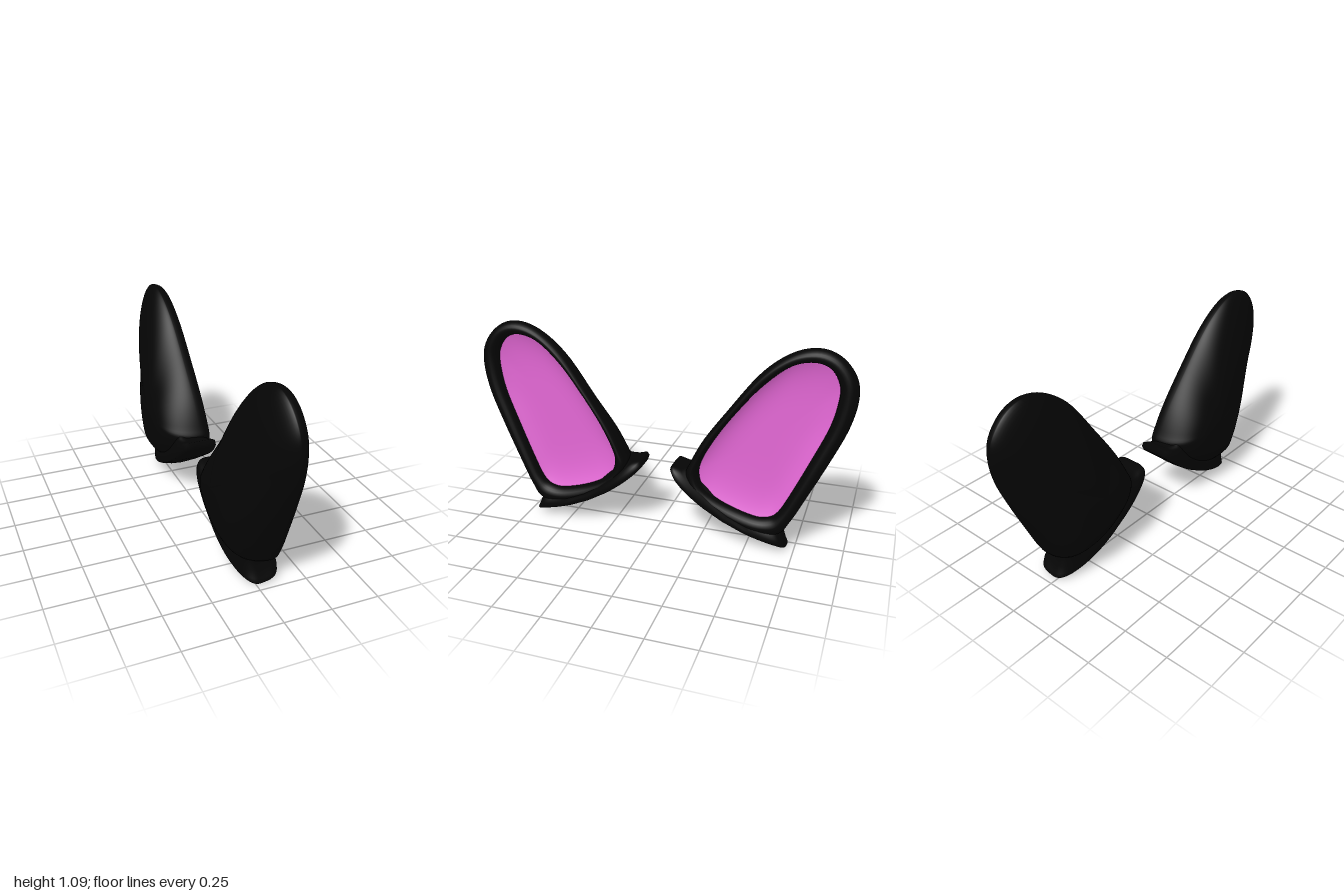
import * as THREE from 'three';
import { mergeVertices } from 'three/addons/utils/BufferGeometryUtils.js';

const V = (z, y, x = 0) => new THREE.Vector3(x, y, z);
const SEG = 96;

// Skins a list of closed rings; side = -1 gives the mirrored part
function loft(rings, side, material, name) {
  const pos = [], idx = [], n = rings[0].length;
  for (const ring of rings) for (const p of ring) pos.push(p.x, p.y, p.z * side);
  for (let i = 0; i < rings.length - 1; i++) {
    for (let j = 0; j < n; j++) {
      const k = (j + 1) % n;
      const a = i * n + j, b = i * n + k, c = a + n, d = b + n;
      if (side > 0) idx.push(a, b, d, a, d, c);
      else idx.push(a, d, b, a, c, d);
    }
  }
  let g = new THREE.BufferGeometry();
  g.setAttribute('position', new THREE.Float32BufferAttribute(pos, 3));
  g.setIndex(idx);
  g = mergeVertices(g, 1e-5);
  g.computeVertexNormals();
  const mesh = new THREE.Mesh(g, material);
  mesh.name = name;
  return mesh;
}

// Matching outlines [z, y]: ear silhouette and edge of the inner ear
const OUTER = [[.79, 1.09], [.9, 1.06], [.98, .97], [1, .86], [.97, .71], [.895, .53], [.8, .33], [.725, .18], [.66, .1],
  [.5, .1], [.35, .16], [.22, .26], [.165, .36], [.185, .43], [.25, .56], [.36, .72], [.52, .935], [.66, 1.05]];
const INNER = [[.78, 1.02], [.86, .995], [.905, .92], [.905, .83], [.875, .7], [.8, .52], [.715, .33], [.66, .225], [.61, .185],
  [.53, .18], [.38, .225], [.27, .29], [.233, .37], [.25, .46], [.33, .605], [.44, .76], [.55, .89], [.67, .99]];

function outline(points) {
  const curve = new THREE.CatmullRomCurve3(points.map(p => V(...p)), true, 'catmullrom', 0.5);
  return Array.from({ length: SEG }, (_, j) => curve.getPoint(j / SEG));
}

// Front plane of the rim leans back towards the tip
const rimX = y => 0.15 - 0.072 * y;
const RIM_DEPTH = 0.05;

function earShell(side, material) {
  const outer = outline(OUTER), inner = outline(INNER), rings = [];
  const peak = V(0.47, 0.45);
  // Domed back: slender towards the tip, fuller towards the base
  for (let i = 0; i <= 24; i++) {
    const s = Math.sin(i / 24 * Math.PI / 2);
    rings.push(outer.map(o => {
      const p = peak.clone().lerp(o, s);
      const up = THREE.MathUtils.smoothstep(o.y, 0.15, 0.8);
      const bulge = Math.pow(Math.max(0, 1 - Math.pow(s, 4 - 2.4 * up)), 0.5 + 0.14 * up);
      const edge = rimX(o.y) - RIM_DEPTH;
      p.x = edge + (-0.15 - edge) * bulge;
      return p;
    }));
  }
  // Rounded rim
  for (let i = 1; i <= 12; i++) {
    const a = i / 12 * Math.PI;
    const k = (1 - Math.cos(a)) / 2;
    rings.push(outer.map((o, j) => {
      const p = o.clone().lerp(inner[j], k);
      p.x = rimX(p.y) - RIM_DEPTH * (1 - Math.sin(a));
      return p;
    }));
  }
  return loft(rings, side, material, 'earShell');
}

// Shallow dish inside the rim
function innerEar(side, material) {
  const inner = outline(INNER), rings = [], centre = V(0.58, 0.58);
  for (let i = 0; i <= 16; i++) {
    const s = Math.cos(i / 16 * Math.PI / 2);
    rings.push(inner.map(o => {
      const p = centre.clone().lerp(o, s);
      p.x = rimX(p.y) - RIM_DEPTH - 0.03 * (1 - Math.pow(s, 5));
      return p;
    }));
  }
  return loft(rings, side, material, 'innerEar');
}

// Flared foot: rounded-rectangle rings that follow curved base lines
function earBase(side, material) {
  const line = (a, b, c) => new THREE.QuadraticBezierCurve3(V(...a), V(...b), V(...c));
  const sole = line([.71, .002], [.36, .06], [.08, .365]);
  const lip = line([.71, .01], [.365, .065], [.077, .385]);
  const lipTop = line([.70, .03], [.38, .075], [.09, .402]);
  const neck = line([.685, .07], [.4, .08], [.135, .388]);
  const waist = line([.67, .12], [.43, .08], [.185, .385]);
  const tuck = line([.65, .2], [.42, .24], [.24, .42]);
  // [curve, length scale, back x, front x]
  const layers = [[sole, 0, .02, .02], [sole, .5, -.035, .085], [sole, .92, -.08, .13], [sole, .98, -.088, .138],
    [lip, 1, -.094, .144], [lipTop, 1, -.096, .145], [neck, 1, -.097, .138], [waist, 1, -.09, .09], [tuck, 1, -.06, -.04]];
  const round = (v, e) => Math.sign(v) * Math.pow(Math.abs(v), e);
  const rings = layers.map(([curve, scale, back, front]) => Array.from({ length: SEG }, (_, j) => {
    const a = j / SEG * Math.PI * 2, c = Math.cos(a), s = Math.sin(a);
    // The outer back corner is much rounder than the others
    const e = c < 0 && s < 0 ? 0.85 : 0.4;
    const u = 0.5 + 0.5 * scale * round(s, e);
    const p = curve.getPoint(u);
    p.x = (back + front) / 2 + (front - back) / 2 * round(c, e);
    // The outer end curls up at its sides
    p.y += 3 * (p.x - 0.02) ** 2 * (1 - u);
    return p;
  }));
  return loft(rings, side, material, 'earBase');
}

export function createModel() {
  const black = new THREE.MeshStandardMaterial({ color: 0x050505, side: THREE.DoubleSide });
  const pink = new THREE.MeshStandardMaterial({ color: 0xe066d2, side: THREE.DoubleSide });
  const model = new THREE.Group();
  model.name = 'earPair';
  for (const side of [1, -1]) {
    const ear = new THREE.Group();
    ear.name = side > 0 ? 'frontEar' : 'backEar';
    ear.add(earShell(side, black), innerEar(side, pink), earBase(side, black));
    model.add(ear);
  }
  return model;
}
